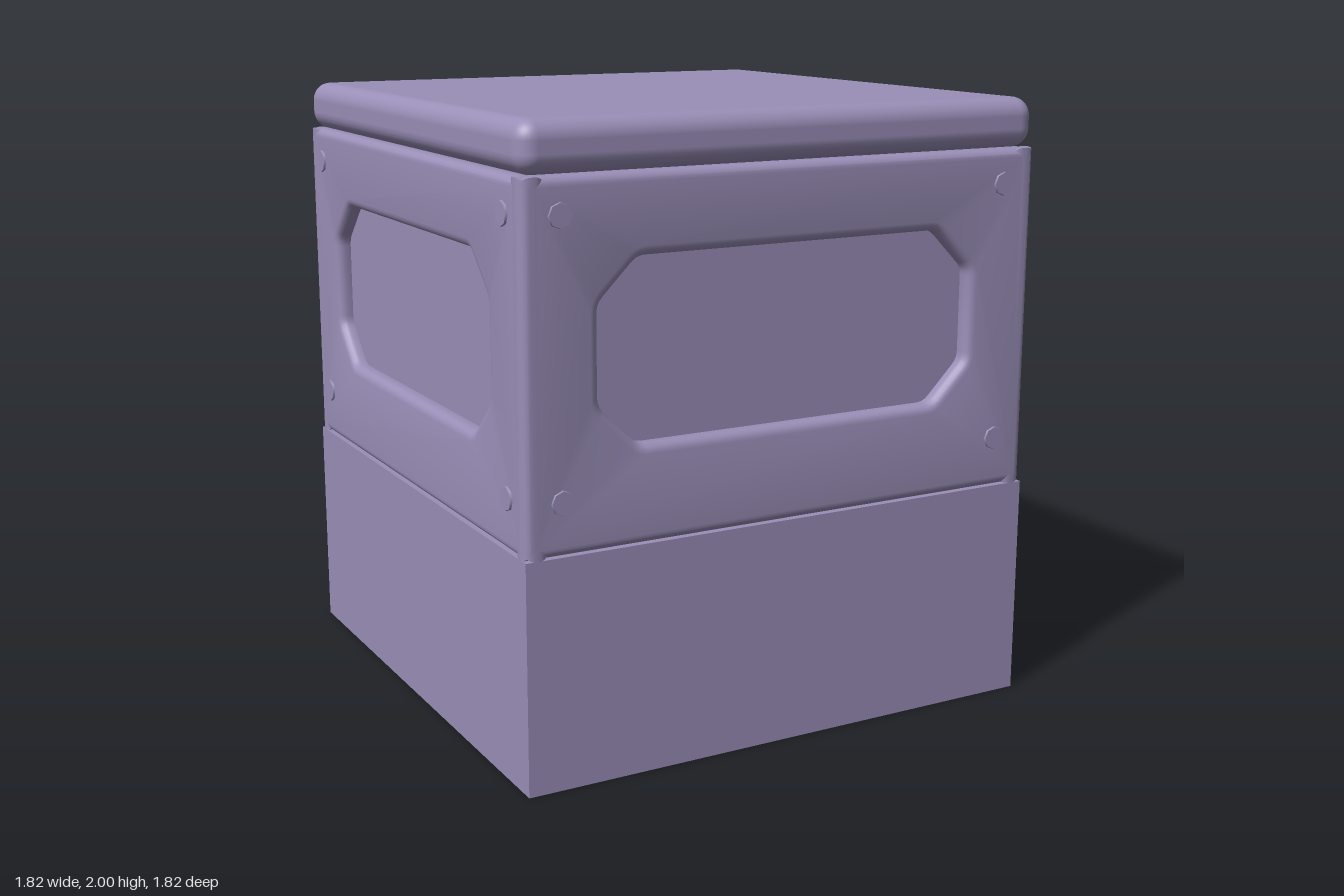
import * as THREE from 'three';
import { toCreasedNormals } from 'three/addons/utils/BufferGeometryUtils.js';
import { RoundedBoxGeometry } from 'three/addons/geometries/RoundedBoxGeometry.js';

const HALF = 0.905, BODY_LOW = 0.73, BODY_HIGH = 1.84;
const BEVEL = 0.03, DEPTH = 0.02;

// Trace a closed polygon whose corners are softened by the given distance
function softPolygon(path, points, soft) {
  const v = points.map(([x, y]) => new THREE.Vector2(x, y));
  v.forEach((p, i) => {
    const toward = (q) => p.clone().add(q.clone().sub(p).setLength(soft));
    const a = toward(v[(i + v.length - 1) % v.length]);
    const b = toward(v[(i + 1) % v.length]);
    if (i === 0) path.moveTo(a.x, a.y);
    else path.lineTo(a.x, a.y);
    path.quadraticCurveTo(p.x, p.y, b.x, b.y);
  });
  path.closePath();
  return path;
}

// Side wall with an eight-cornered window and rounded edges
function wallGeometry() {
  const shape = new THREE.Shape([
    new THREE.Vector2(-HALF, BODY_LOW), new THREE.Vector2(HALF, BODY_LOW),
    new THREE.Vector2(HALF, BODY_HIGH), new THREE.Vector2(-HALF, BODY_HIGH),
  ]);
  const w = 0.66, low = 1.035, high = 1.595, cut = 0.13;
  shape.holes.push(softPolygon(new THREE.Path(), [
    [-w + cut, low], [-w, low + cut], [-w, high - cut], [-w + cut, high],
    [w - cut, high], [w, high - cut], [w, low + cut], [w - cut, low],
  ], 0.025));
  const geometry = new THREE.ExtrudeGeometry(shape, {
    depth: DEPTH, bevelThickness: BEVEL, bevelSize: BEVEL, bevelOffset: -BEVEL,
    bevelSegments: 4, curveSegments: 3,
  });
  geometry.translate(0, 0, HALF - BEVEL - DEPTH);
  return toCreasedNormals(geometry, 0.6);
}

export function createModel() {
  const model = new THREE.Group();
  model.name = 'crate';
  const violet = new THREE.MeshStandardMaterial({ color: 0x9a8fb8 });
  violet.name = 'dusty violet';

  const add = (parent, name, geometry, x = 0, y = 0, z = 0) => {
    const mesh = new THREE.Mesh(geometry, violet);
    mesh.name = name;
    mesh.position.set(x, y, z);
    parent.add(mesh);
    return mesh;
  };

  // Plain block at the bottom
  add(model, 'base', new THREE.BoxGeometry(HALF * 2, BODY_LOW, HALF * 2), 0, BODY_LOW / 2, 0);

  // Inner block, seen as the floor of each recessed window
  const core = 2 * (HALF - BEVEL - DEPTH);
  add(model, 'recessedPanels', new THREE.BoxGeometry(core, BODY_HIGH - BODY_LOW - 0.02, core),
    0, (BODY_LOW + BODY_HIGH) / 2, 0);

  // Four identical walls, each with a bolt in every corner
  const wall = wallGeometry();
  const bolt = new THREE.CylinderGeometry(0.037, 0.041, 0.02, 8).rotateX(Math.PI / 2);
  ['front', 'left', 'back', 'right'].forEach((side, i) => {
    const group = new THREE.Group();
    group.name = side + 'Side';
    group.rotation.y = i * Math.PI / 2;
    add(group, side + 'Wall', wall);
    for (const x of [-0.783, 0.783]) {
      for (const y of [0.895, 1.73]) add(group, 'bolt', bolt, x, y, HALF - 0.003);
    }
    model.add(group);
  });

  // Cushioned lid
  add(model, 'lid', new RoundedBoxGeometry(HALF * 2, 0.16, HALF * 2, 4, 0.06), 0, 1.92, 0);

  return model;
}
